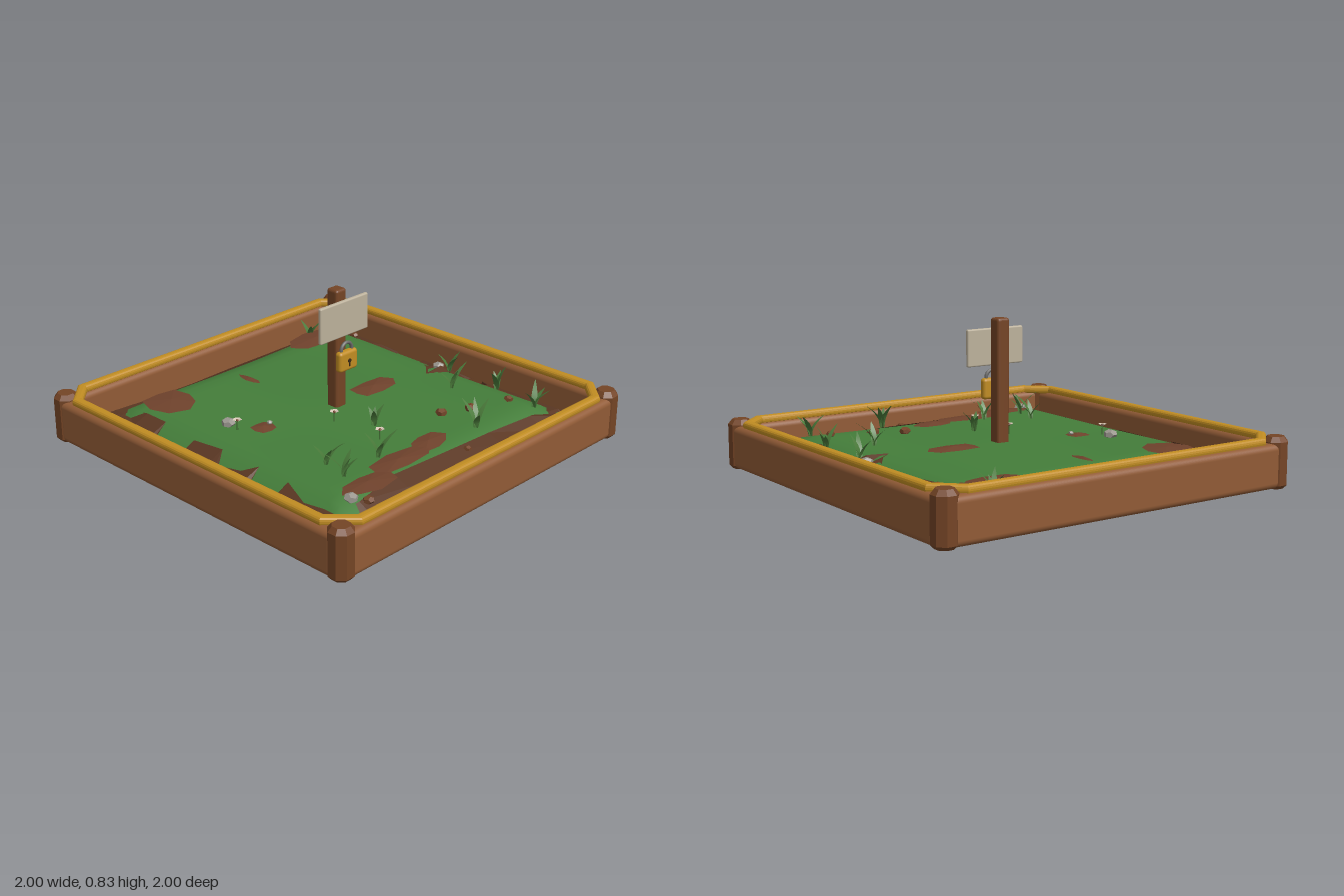
import * as THREE from 'three';
import { RoundedBoxGeometry } from 'three/addons/geometries/RoundedBoxGeometry.js';

const mat = (color, flatShading = false, side = THREE.FrontSide) =>
  new THREE.MeshStandardMaterial({ color, flatShading, side });

const WOOD = mat(0x915b36);
const POST = mat(0x744425, true);
const GOLD = mat(0xc08c22);
const DARK = mat(0x3a2a14);
const STEEL = mat(0x6b6a68);
const SIGN = mat(0xbcb19b);
const GRASS = mat(0x447d3a);
const BLADE = mat(0x4a7a3a, false, THREE.DoubleSide);
const SOIL = mat(0x6f422c, true, THREE.DoubleSide);
const BANK = mat(0x5a3723, true, THREE.DoubleSide);
const UNDER = mat(0x54392a, true);
const STONE = mat(0x9a968e, true);
const CLOD = mat(0x734529, true);
const SLATE = mat(0x71879a);
const PETAL = mat(0xd8c8b8, false, THREE.DoubleSide);

// Small seeded noise
let seed = 7;
const rnd = () => (seed = (seed * 16807) % 2147483647) / 2147483647;

// The plot is flat in the middle and falls away towards the walls
const EDGE = 0.912;
const groundY = (x, z) => {
  const m = Math.max(Math.abs(x), Math.abs(z));
  return 0.22 - 0.125 * THREE.MathUtils.smoothstep(m, 0.66, 0.93) + 0.003 * Math.sin(x * 5 + 1) * Math.cos(z * 4);
};

export function createModel() {
  const root = new THREE.Group();
  const add = (name, geo, material, x = 0, y = 0, z = 0, parent = root) => {
    const m = new THREE.Mesh(geo, material);
    m.name = name;
    m.position.set(x, y, z);
    parent.add(m);
    return m;
  };

  // Four timber walls and chamfered corner posts
  const postProfile = [[0, 0.042], [0.045, 0.042], [0.062, 0.06], [0.062, 0.27], [0.042, 0.295], [0, 0.295]]
    .map(([r, y]) => new THREE.Vector2(r, y));
  for (let i = 0; i < 4; i++) {
    const side = new THREE.Group();
    side.name = 'frameSide';
    side.rotation.y = (i * Math.PI) / 2;
    root.add(side);
    add('wall', new RoundedBoxGeometry(1.88, 0.22, 0.085, 5, 0.032), WOOD, 0, 0.155, 0.953, side);
    const post = add('cornerPost', new THREE.LatheGeometry(postProfile, 8), POST, 0.943, 0, 0.943, side);
    post.rotation.y = Math.PI / 8;
  }

  // Gilded rail: chamfered square ring with rounded edges
  const ring = (s, c) => [[s, c], [c, s], [-c, s], [-s, c], [-s, -c], [-c, -s], [c, -s], [s, -c]]
    .map(([x, y]) => new THREE.Vector2(x, y));
  const railShape = new THREE.Shape(ring(0.958, 0.841));
  railShape.holes.push(new THREE.Path(ring(0.942, 0.834)));
  const railGeo = new THREE.ExtrudeGeometry(railShape, {
    depth: 0.008, bevelEnabled: true, bevelSize: 0.017, bevelThickness: 0.017, bevelSegments: 3
  });
  railGeo.rotateX(-Math.PI / 2);
  add('goldRail', railGeo, GOLD, 0, 0.272, 0);

  // Lawn
  const lawn = new THREE.PlaneGeometry(EDGE * 2, EDGE * 2, 28, 28).rotateX(-Math.PI / 2);
  const lp = lawn.attributes.position;
  for (let i = 0; i < lp.count; i++) lp.setY(i, groundY(lp.getX(i), lp.getZ(i)));
  lawn.computeVertexNormals();
  add('lawn', lawn, GRASS);

  // Lumpy soil underside, following the lawn
  const under = new THREE.PlaneGeometry(EDGE * 2, EDGE * 2, 14, 14).rotateX(Math.PI / 2);
  const up = under.attributes.position;
  for (let i = 0; i < up.count; i++) up.setY(i, groundY(up.getX(i), up.getZ(i)) - 0.014 - 0.014 * rnd());
  add('soilUnderside', under, UNDER);
  for (const [x, z, w, d] of [[-0.43, 0.4, 0.27, 0.1], [-0.02, -0.27, 0.17, 0.07], [0.37, -0.36, 0.06, 0.035]]) {
    add('buriedStone', new THREE.SphereGeometry(1, 20, 12), SLATE, x, 0.198, z).scale.set(w, 0.018, d);
  }

  // Earth banks sloping down to the walls: pairs of (distance along wall, width)
  const bank = (runs, angle) => runs.forEach((run) => {
    const pos = [];
    const idx = [];
    run.forEach(([t, w], i) => {
      const lift = 0.006 + 0.012 * rnd();
      const mid = EDGE - w * (0.45 + 0.2 * rnd());
      const toe = EDGE - w;
      pos.push(t, groundY(t, EDGE) + lift, EDGE, t, groundY(t, mid) + lift + 0.006, mid, t, groundY(t, toe) + 0.003, toe);
      if (!i) return;
      for (let k = 0; k < 2; k++) {
        const a = (i - 1) * 3 + k;
        idx.push(a, a + 3, a + 1, a + 1, a + 3, a + 4);
      }
    });
    const g = new THREE.BufferGeometry();
    g.setAttribute('position', new THREE.Float32BufferAttribute(pos, 3));
    g.setIndex(idx);
    g.computeVertexNormals();
    add('earthBank', g, BANK).rotation.y = angle;
  });
  const H = Math.PI / 2;
  bank([[[-0.91, 0.2], [-0.78, 0.19], [-0.62, 0.17], [-0.35, 0.21], [0, 0.2], [0.3, 0.19], [0.6, 0.17], [0.78, 0.19], [0.91, 0.2]]], 0);
  bank([[[-0.91, 0.2], [-0.76, 0.18], [-0.4, 0.19], [-0.1, 0.2], [0.15, 0.18], [0.45, 0.18], [0.76, 0.19], [0.91, 0.2]]], 2 * H);
  // +x edge: distance runs along -z
  bank([
    [[-0.91, 0.2], [-0.76, 0.19], [-0.5, 0.19], [-0.36, 0.17], [-0.2, 0.02]],
    [[-0.15, 0.08], [-0.12, 0.2], [-0.07, 0.32], [-0.01, 0.25], [0.1, 0.17], [0.21, 0.03]],
    [[0.4, 0.02], [0.44, 0.19], [0.6, 0.2], [0.76, 0.2], [0.91, 0.2]]
  ], H);
  // -x edge: distance runs along +z
  bank([
    [[-0.91, 0.2], [-0.76, 0.2], [-0.6, 0.2], [-0.46, 0.2], [-0.42, 0.02]],
    [[-0.24, 0.05], [-0.23, 0.18], [-0.05, 0.2], [0, 0.13], [0.13, 0.15], [0.2, 0.2], [0.25, 0.02]],
    [[0.38, 0.02], [0.4, 0.19], [0.55, 0.14], [0.76, 0.17], [0.91, 0.2]]
  ], -H);

  // Bare earth patches: x, z, half width, half depth
  for (const [x, z, w, d] of [
    [-0.55, -0.61, 0.14, 0.14], [0.53, -0.68, 0.18, 0.1], [-0.09, -0.54, 0.025, 0.08], [0.28, -0.01, 0.15, 0.08],
    [-0.43, -0.07, 0.06, 0.06], [-0.24, 0.63, 0.2, 0.07], [0, 0.6, 0.12, 0.08], [-0.5, 0.68, 0.17, 0.08], [0.4, 0.57, 0.03, 0.015]
  ]) {
    const g = new THREE.ConeGeometry(1, 1, 8, 1, true);
    const p = g.attributes.position;
    for (let i = 0; i < 8; i++) {
      const r = 0.8 + 0.3 * rnd();
      for (let j = 9 + i; j < p.count; j += i ? 99 : 8) p.setXYZ(j, p.getX(j) * r, p.getY(j), p.getZ(j) * r);
    }
    add('earthPatch', g, SOIL, x, groundY(x, z) + 0.006, z).scale.set(w, 0.01, d);
  }

  // Pebbles and clods
  const lumps = [
    [[[-0.53, -0.21, 0.036], [0.74, 0.03, 0.034], [-0.65, 0.72, 0.034], [-0.39, -0.07, 0.014]], STONE, 'pebble'],
    [[[0.27, 0.45, 0.03], [0.41, 0.52, 0.03], [0.62, 0.59, 0.024], [-0.58, 0.76, 0.028], [0.11, 0.75, 0.02], [0.74, -0.58, 0.022]], CLOD, 'clod']
  ];
  for (const [list, material, name] of lumps) for (const [x, z, r] of list) {
    const m = add(name, new THREE.DodecahedronGeometry(r), material, x, groundY(x, z) + 0.014, z);
    m.scale.y = 0.7;
    m.rotation.y = rnd() * 6;
  }

  // Grass tufts: a fan of bent, tapering blades
  const makeBlade = (len, lean) => {
    const g = new THREE.PlaneGeometry(1, 1, 1, 5);
    const p = g.attributes.position;
    for (let i = 0; i < p.count; i++) {
      const t = p.getY(i) + 0.5;
      p.setXYZ(i, p.getX(i) * 0.07 * (0.3 + t) * (1.02 - t), len * t, len * lean * t * t);
    }
    g.computeVertexNormals();
    return g;
  };
  for (const [x, z, turn] of [[0.58, -0.77, 0.5], [-0.05, 0.3, 2.6], [0.55, 0.28, 1], [-0.5, 0.42, 0.9], [-0.53, 0.56, 1.3],
    [-0.28, 0.54, 0.8], [0.28, 0.66, 2.8], [0.67, 0.71, 1.8], [0.74, 0.42, 2.2], [0.73, 0.11, 0.8]]) {
    const tuft = new THREE.Group();
    tuft.name = 'grassTuft';
    tuft.position.set(x, groundY(x, z), z);
    for (let k = 0; k < 4; k++) {
      const blade = makeBlade(0.08 + 0.05 * rnd(), 0.35 + 0.5 * rnd());
      add('blade', blade, BLADE, 0, 0, 0, tuft).rotation.y = turn + (k - 1.5) * 0.8 + (k === 3 ? 1.6 : 0);
    }
    root.add(tuft);
  }

  // Small five-petalled flowers
  for (const [x, z] of [[-0.15, 0.13], [-0.14, 0.42], [-0.535, -0.14]]) {
    const flower = new THREE.Group();
    flower.name = 'flower';
    flower.position.set(x, groundY(x, z), z);
    add('stem', new THREE.CylinderGeometry(0.003, 0.004, 0.05, 5), BLADE, 0, 0.025, 0, flower);
    add('petals', new THREE.ConeGeometry(0.024, 0.012, 5, 1, true).rotateX(Math.PI), PETAL, 0, 0.05, 0, flower);
    add('heart', new THREE.SphereGeometry(0.007, 8, 6), CLOD, 0, 0.051, 0, flower);
    root.add(flower);
  }

  // Stake and notice board
  add('stake', new RoundedBoxGeometry(0.07, 0.835, 0.07, 3, 0.014), POST, 0, 0.4175, 0);
  add('noticeBoard', new RoundedBoxGeometry(0.328, 0.184, 0.022, 3, 0.008), SIGN, 0, 0.69, 0.045);

  // Padlock
  const lock = new THREE.Group();
  lock.name = 'padlock';
  lock.position.set(0, 0.48, 0.066);
  root.add(lock);
  add('lockBody', new RoundedBoxGeometry(0.124, 0.105, 0.042, 4, 0.017), GOLD, 0, 0, 0, lock);
  add('shackle', new THREE.TorusGeometry(0.036, 0.009, 8, 20, Math.PI), STEEL, 0, 0.055, 0, lock);
  for (const s of [-1, 1]) add('shackleLeg', new THREE.CylinderGeometry(0.009, 0.009, 0.03, 8), STEEL, s * 0.036, 0.042, 0, lock);
  add('keyhole', new THREE.CylinderGeometry(0.011, 0.011, 0.01, 12).rotateX(H), DARK, 0, 0.002, 0.019, lock);
  add('keyholeSlot', new THREE.BoxGeometry(0.009, 0.026, 0.01), DARK, 0, -0.014, 0.019, lock);

  return root;
}
